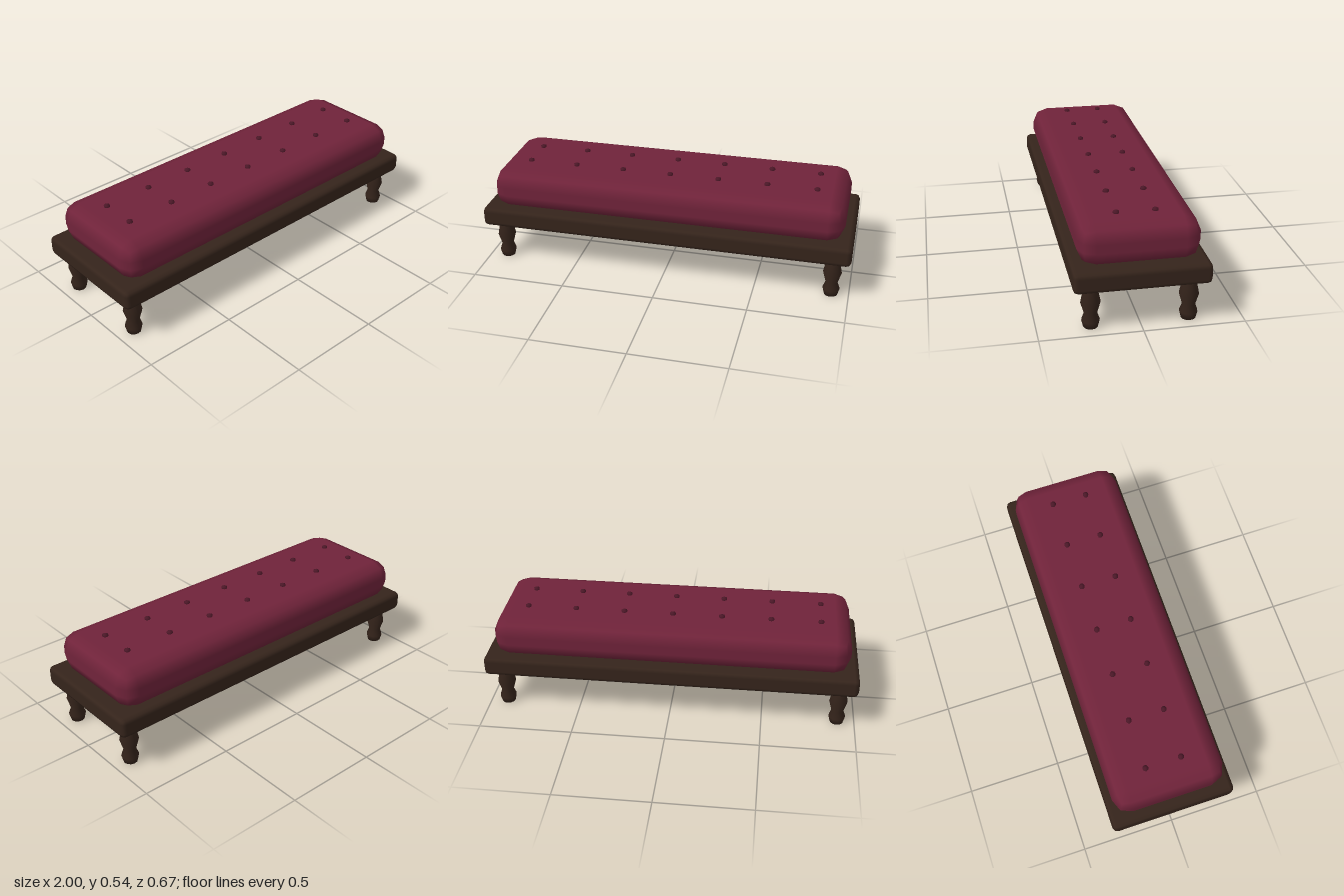
import * as THREE from 'three';
import { RoundedBoxGeometry } from 'three/addons/geometries/RoundedBoxGeometry.js';

export function createModel() {
  const bench = new THREE.Group();
  bench.name = 'bench';
  const wood = new THREE.MeshStandardMaterial({ color: 0x35241b });
  const fabric = new THREE.MeshStandardMaterial({ color: 0x70233a });
  const buttonFabric = new THREE.MeshStandardMaterial({ color: 0x4c1828 });

  const add = (name, geometry, material, x, y, z) => {
    const mesh = new THREE.Mesh(geometry, material);
    mesh.name = name;
    mesh.position.set(x, y, z);
    bench.add(mesh);
  };

  // Wooden frame and the padded cushion sunk slightly into it
  add('frame', new RoundedBoxGeometry(2, 0.106, 0.666, 1, 0.025), wood, 0, 0.269, 0);
  add('cushion', new RoundedBoxGeometry(1.9, 0.215, 0.597, 1, 0.085), fabric, 0, 0.4175, 0);

  // Turned legs: [radius, height] from the foot up into the frame
  const profile = [
    [0, 0], [0.036, 0], [0.045, 0.036], [0.032, 0.073], [0.049, 0.132],
    [0.036, 0.195], [0.041, 0.22], [0, 0.22],
  ].map(([r, y]) => new THREE.Vector2(r, y));
  const legGeometry = new THREE.LatheGeometry(profile, 12);
  for (const [end, x] of [['Left', 0.906], ['Right', -0.906]]) {
    for (const [side, z] of [['front', 0.24], ['back', -0.24]]) {
      add(`${side}${end}Leg`, legGeometry, wood, x, 0, z);
    }
  }

  // Two rows of seven tufting buttons
  const buttonGeometry = new THREE.SphereGeometry(0.018, 8, 3);
  for (let i = -3; i <= 3; i++) {
    for (const z of [-0.095, 0.095]) {
      add('button', buttonGeometry, buttonFabric, i * 0.262, 0.525, z);
    }
  }

  return bench;
}
